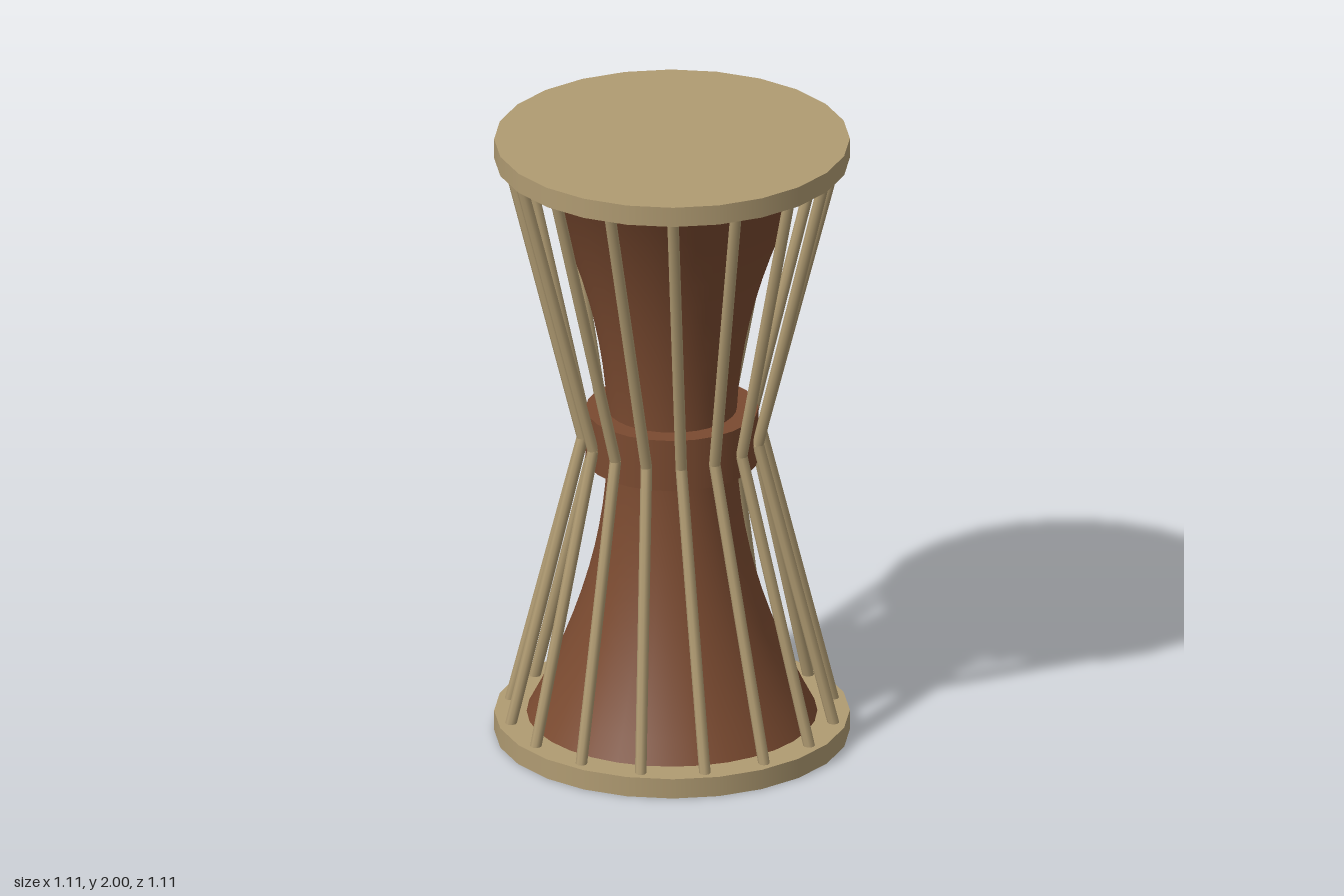
import * as THREE from 'three';

export function createModel() {
  const drum = new THREE.Group();
  drum.name = 'hourglassDrum';
  const hide = new THREE.MeshStandardMaterial({ color: 0xb09b72 });
  hide.name = 'tan hide';
  const wood = new THREE.MeshStandardMaterial({ color: 0x7a4a30 });
  wood.name = 'brown wood';

  const add = (name, geometry, material, y = 0) => {
    const mesh = new THREE.Mesh(geometry, material);
    mesh.name = name;
    mesh.position.y = y;
    drum.add(mesh);
    return mesh;
  };

  // Two drum heads
  const head = new THREE.CylinderGeometry(0.555, 0.555, 0.065, 24);
  add('lowerHead', head, hide, 0.0325);
  add('upperHead', head, hide, 1.9675);

  // Hourglass body: narrow at the waist, flaring towards both heads
  const profile = [];
  for (let i = -12; i <= 12; i++) {
    const t = i / 12;
    profile.push(new THREE.Vector2(0.2 + 0.255 * t * t, 1 + 0.938 * t));
  }
  add('body', new THREE.LatheGeometry(profile, 32), wood);

  // Waist ring
  add('waistRing', new THREE.CylinderGeometry(0.27, 0.27, 0.17, 24), wood, 1.005);

  // Cords twist a quarter step from head to waist and again to the other head
  const count = 16;
  const step = (Math.PI * 2) / count;
  const point = (radius, y, angle) =>
    new THREE.Vector3(Math.sin(angle) * radius, y, Math.cos(angle) * radius);
  const addCord = (name, a, b) => {
    const length = a.distanceTo(b);
    const cord = add(name, new THREE.CylinderGeometry(0.018, 0.018, length, 8), hide);
    cord.position.copy(a).add(b).multiplyScalar(0.5);
    const direction = b.clone().sub(a).normalize();
    cord.quaternion.setFromUnitVectors(new THREE.Vector3(0, 1, 0), direction);
  };
  for (let i = 0; i < count; i++) {
    const angle = i * step;
    const waist = point(0.28, 1.0, angle + step / 4);
    addCord('upperCord', waist, point(0.515, 1.945, angle));
    addCord('lowerCord', point(0.515, 0.055, angle + step / 2), waist);
  }
  return drum;
}
